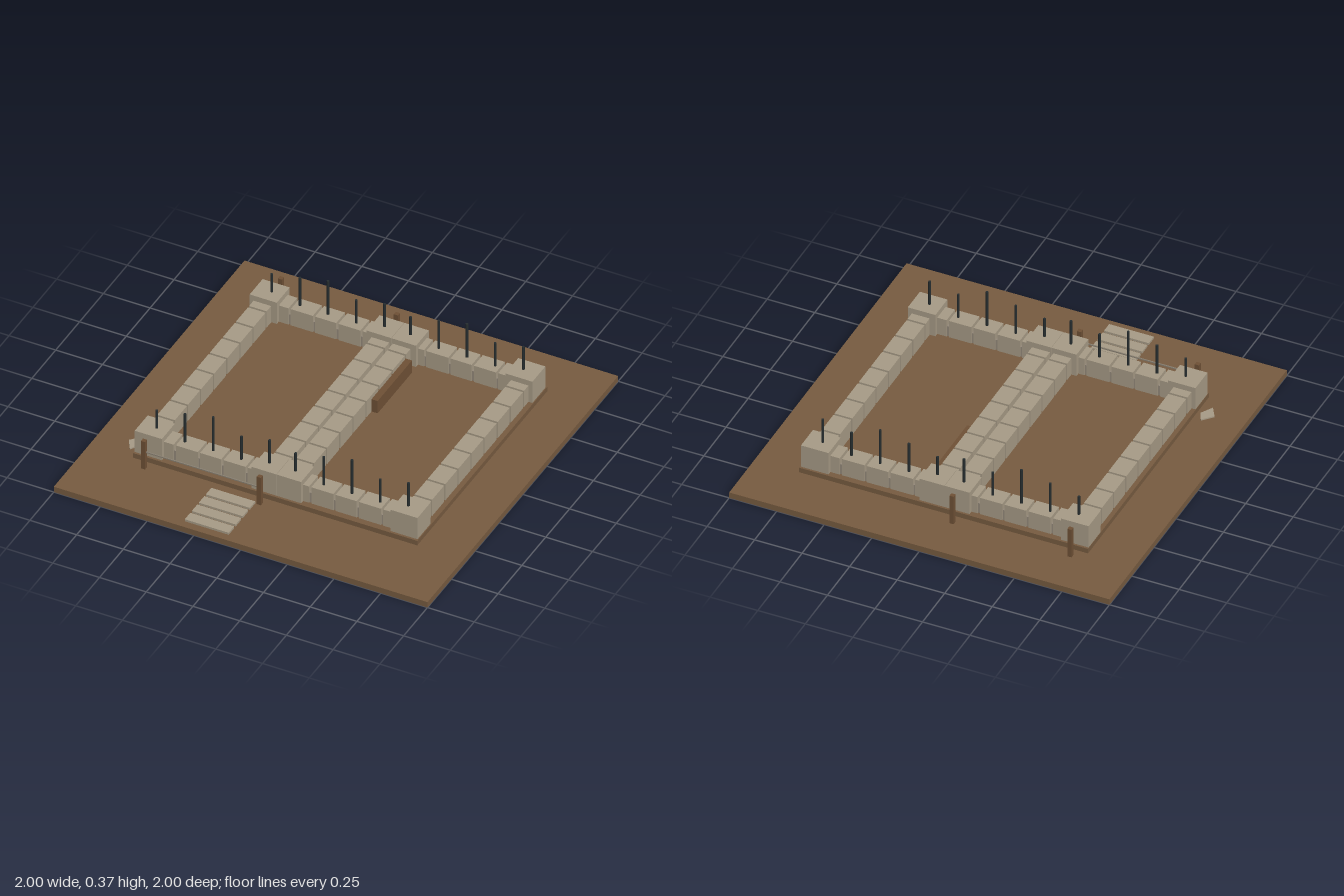
import * as THREE from 'three';

export function createModel() {
  const model = new THREE.Group();
  const mat = (name, color) => {
    const m = new THREE.MeshStandardMaterial({ color });
    m.name = name;
    return m;
  };
  const soil = mat('soil', 0x775b40);
  const wood = mat('timber', 0x6f5136);
  const stone = mat('stone', 0xa79b86);
  const mortar = mat('mortar', 0x94897a);
  const steel = mat('steel', 0x262d2f);
  const cord = mat('cord', 0x8a8172);

  // Box given by its limits on each axis
  const box = (name, m, x0, x1, y0, y1, z0, z1, parent = model) => {
    const mesh = new THREE.Mesh(new THREE.BoxGeometry(x1 - x0, y1 - y0, z1 - z0), m);
    mesh.position.set((x0 + x1) / 2, (y0 + y1) / 2, (z0 + z1) / 2);
    mesh.name = name;
    parent.add(mesh);
    return mesh;
  };

  const GROUND = 0.032, BASE = 0.07, WALL = 0.167, POST = 0.197, CORE = 0.128;
  const FRONT = 0.557, BACK = -0.648;

  // Ground and stepped footing
  box('ground', soil, -1, 1, 0, GROUND, -1, 1);
  box('lowerFooting', soil, -0.735, 0.735, GROUND, 0.045, -0.7, 0.61);
  box('footing', soil, -0.76, 0.76, 0.043, BASE, -0.727, 0.637);

  // Row of blocks with narrow open joints over a slimmer mortar core
  const wall = (name, along, centre, ends, joints) => {
    const group = new THREE.Group();
    group.name = name;
    model.add(group);
    const half = 0.047, gap = 0.006;
    const put = (part, m, a, b, top, h) => along === 'x'
      ? box(part, m, a, b, BASE, top, centre - h, centre + h, group)
      : box(part, m, centre - h, centre + h, BASE, top, a, b, group);
    put('mortarCore', mortar, ends[0], ends[1], CORE, half - 0.006);
    const cuts = [ends[0] - gap, ...joints, ends[1] + gap];
    for (let i = 0; i < cuts.length - 1; i++) {
      put('block', stone, cuts[i] + gap, cuts[i + 1] - gap, WALL, half);
    }
  };

  // Front and back walls, two bays each
  const leftJoints = [-0.555, -0.425, -0.3, -0.17];
  const rightJoints = leftJoints.map(x => -x).reverse();
  for (const [side, z] of [['front', FRONT], ['back', BACK]]) {
    wall(side + 'WallRight', 'x', z, [-0.62, -0.125], leftJoints);
    wall(side + 'WallLeft', 'x', z, [0.125, 0.62], rightJoints);
  }

  // Side walls and the paired dividing walls
  const sideJoints = Array.from({ length: 8 }, (_, i) => -0.527 + i * 0.1375);
  for (const x of [-0.69, -0.058, 0.055, 0.687]) {
    wall('longWall', 'z', x, [-0.58, 0.495], sideJoints);
  }

  // Corner and middle pillars
  for (const z of [FRONT, BACK]) {
    const z0 = z - 0.068, z1 = z + 0.068;
    for (const [x0, x1] of [[-0.758, -0.613], [-0.132, -0.001], [0.001, 0.132], [0.61, 0.755]]) {
      box('pillar', stone, x0, x1, BASE, POST, z0, z1);
    }
  }

  // Reinforcing rods in three repeating heights
  const tops = [0.303, 0.333, 0.366];
  for (const z of [FRONT, BACK]) {
    for (const start of [-0.675, 0.068]) {
      for (let i = 0; i < 5; i++) {
        const h = tops[i % 3] - BASE;
        const rod = new THREE.Mesh(new THREE.CylinderGeometry(0.007, 0.007, h, 8), steel);
        rod.position.set(start + i * 0.151, BASE + h / 2, z);
        rod.name = 'rod';
        model.add(rod);
      }
    }
  }

  // Setting-out stakes and the stretched cord
  for (const x of [-0.685, -0.065]) {
    for (const z of [0.671, -0.765]) {
      box('stake', wood, x - 0.011, x + 0.011, GROUND, 0.196, z - 0.011, z + 0.011);
    }
  }
  box('cord', cord, -0.685, -0.065, 0.126, 0.132, 0.668, 0.674);

  // Timber stacked against the dividing wall
  box('timberStack', wood, 0.06, 0.135, BASE, 0.143, -0.532, -0.172);

  // Paving slabs leading to the front
  for (let i = 0; i < 4; i++) {
    const z = 0.709 + i * 0.0735;
    box('pavingSlab', stone, -0.32, -0.085, GROUND, 0.044, z - 0.029, z + 0.029);
  }

  // Loose flat stone beside the right front corner
  const outline = new THREE.Shape([[-0.845, -0.517], [-0.81, -0.575], [-0.773, -0.512], [-0.797, -0.465]]
    .map(([x, y]) => new THREE.Vector2(x, y)));
  const loose = new THREE.Mesh(
    new THREE.ExtrudeGeometry(outline, { depth: 0.007, bevelEnabled: false }), stone);
  loose.rotation.x = -Math.PI / 2;
  loose.position.y = GROUND;
  loose.name = 'looseStone';
  model.add(loose);

  return model;
}
